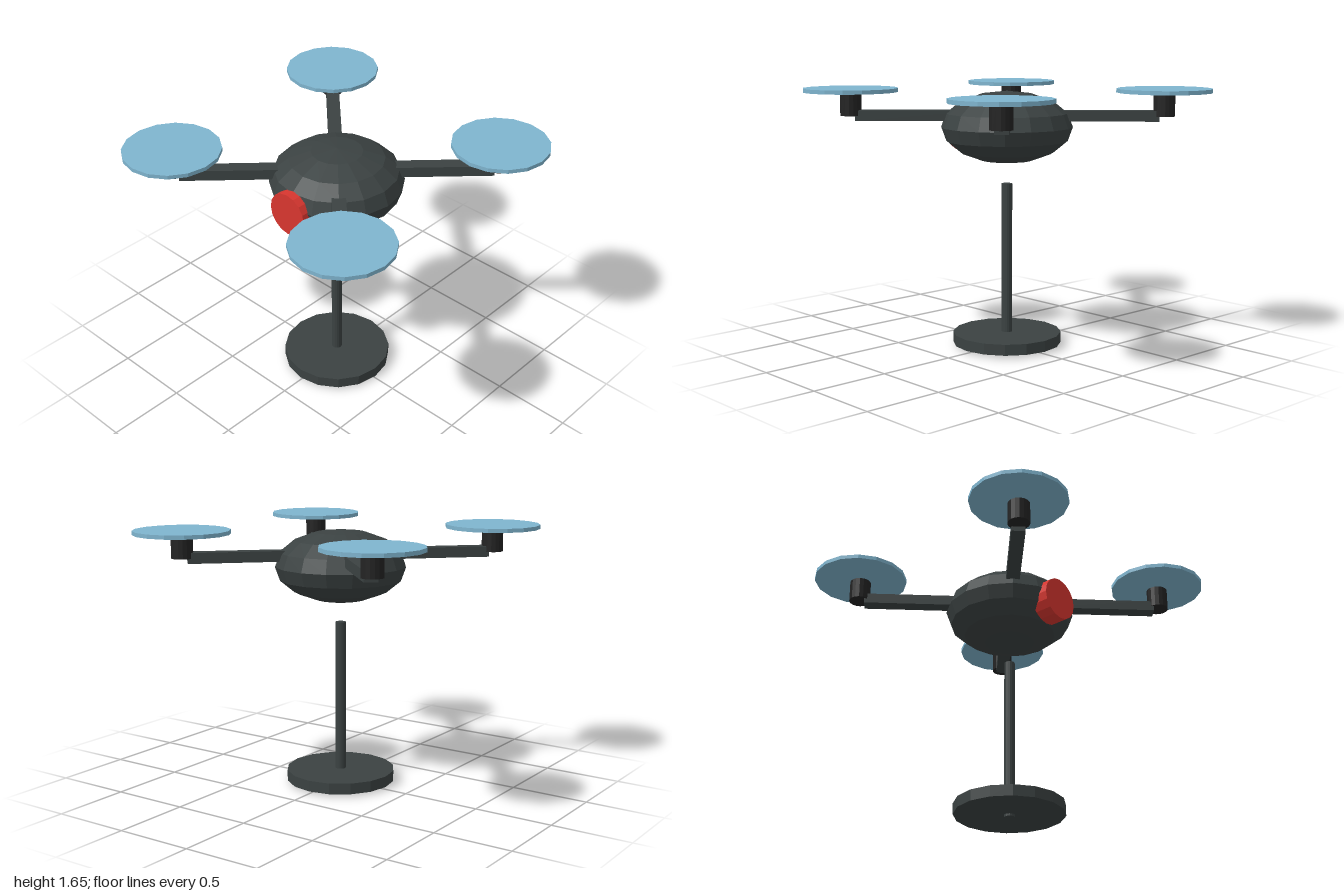
import * as THREE from 'three';

const SIDES = 16;

function material(name, color) {
  const m = new THREE.MeshStandardMaterial({ color });
  m.name = name;
  m.flatShading = true;
  return m;
}

export function createModel() {
  const model = new THREE.Group();
  model.name = 'droneOnStand';

  const shell = material('charcoal', 0x3b4242);
  const motorBlack = material('black', 0x232323);
  const lensRed = material('red', 0xd8362f);
  const rotorBlue = material('paleBlue', 0x7fb5cf);

  function add(parent, name, geometry, mat, x = 0, y = 0, z = 0) {
    const mesh = new THREE.Mesh(geometry, mat);
    mesh.name = name;
    mesh.position.set(x, y, z);
    parent.add(mesh);
    return mesh;
  }
  const disc = (radius, height) => new THREE.CylinderGeometry(radius, radius, height, SIDES);

  // Display stand: the pole runs slightly below the base plate
  add(model, 'standBase', disc(0.348, 0.07), shell, 0, 0.05, 0);
  add(model, 'standPole', disc(0.034, 1.05), shell, 0, 0.525, 0);

  // Flattened faceted body, hovering above the pole
  const bodyGeometry = new THREE.SphereGeometry(1, SIDES, 8).scale(0.416, 0.228, 0.416);
  add(model, 'body', bodyGeometry, shell, 0, 1.409, 0);

  // Camera drum facing forward
  const cameraGeometry = disc(0.138, 0.115).rotateX(Math.PI / 2);
  add(model, 'camera', cameraGeometry, lensRed, 0, 1.367, 0.373);

  // Four diagonal arms, each with a motor and a rotor disc
  const armStart = 0.2, armEnd = 0.955, reach = 0.698 * Math.SQRT2;
  for (let i = 0; i < 4; i++) {
    const angle = Math.PI / 4 + i * Math.PI / 2;
    const unit = new THREE.Group();
    unit.name = 'rotorArm' + (i + 1);
    model.add(unit);

    const armGeometry = new THREE.BoxGeometry(armEnd - armStart, 0.067, 0.085);
    armGeometry.translate((armStart + armEnd) / 2, 0, 0).rotateY(angle);
    add(unit, 'arm', armGeometry, shell, 0, 1.481, 0);

    const x = Math.cos(angle) * reach, z = -Math.sin(angle) * reach;
    add(unit, 'motor', disc(0.068, 0.137), motorBlack, x, 1.547, z);
    add(unit, 'rotorDisc', disc(0.302, 0.025), rotorBlue, x, 1.64, z);
  }

  return model;
}
